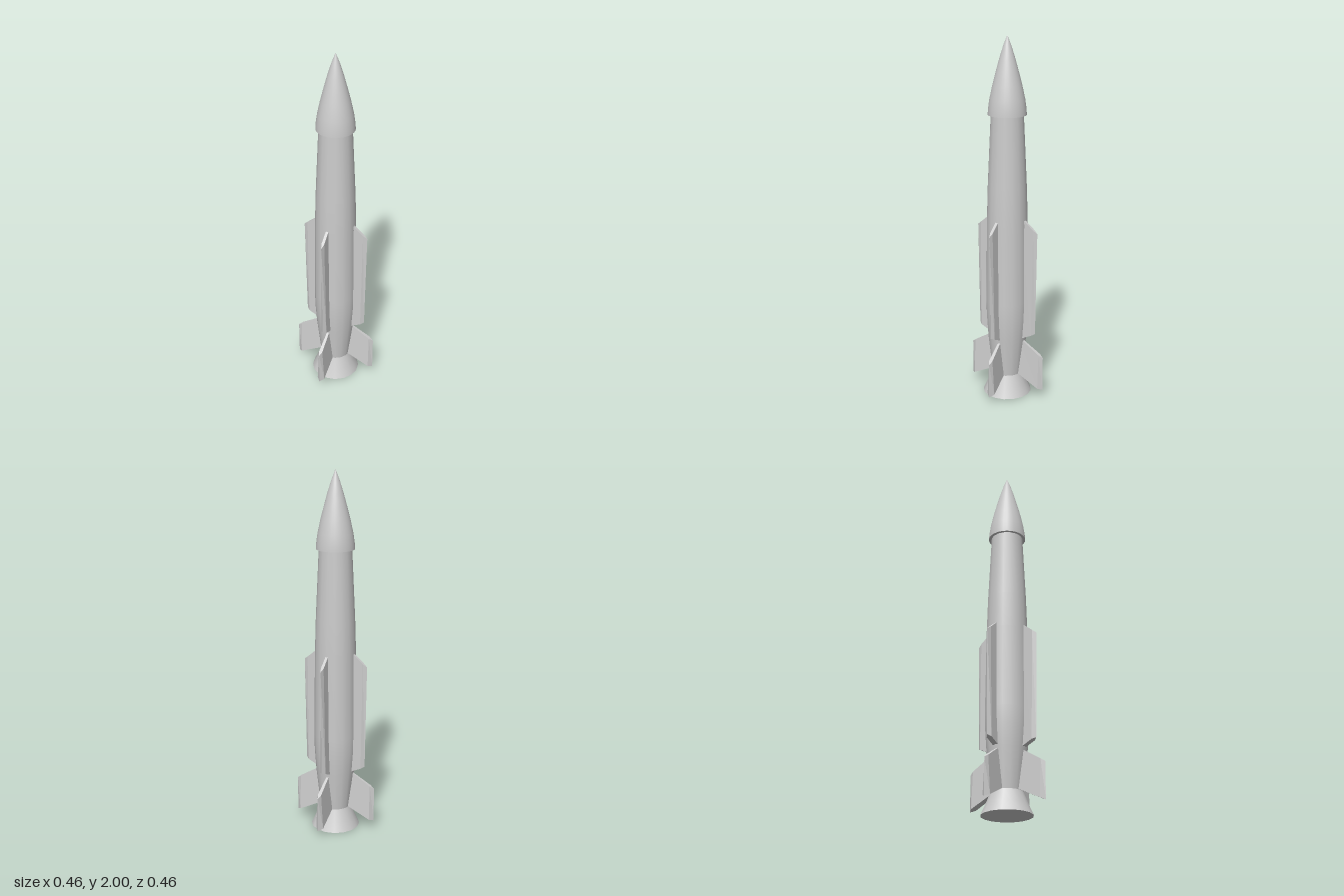
import * as THREE from 'three';

const grey = new THREE.MeshStandardMaterial({ color: 0xcccccc });

function addMesh(group, name, geometry) {
  const mesh = new THREE.Mesh(geometry, grey);
  mesh.name = name;
  group.add(mesh);
  return mesh;
}

// Smooth turned surface from [radius, height] pairs, bottom to top
function turned(profile, sides) {
  return new THREE.LatheGeometry(profile.map(([r, y]) => new THREE.Vector2(r, y)), sides);
}

// Fin along +x with a knife outer edge; each station is [radius, y, half thickness]
function finGeometry(top, bottom) {
  // Loop around one end: root, shoulder, tip, shoulder, root
  const loop = ([root, shoulder, tip]) => [
    [root[0], root[1], root[2]], [shoulder[0], shoulder[1], shoulder[2]],
    [tip[0], tip[1], 0],
    [shoulder[0], shoulder[1], -shoulder[2]], [root[0], root[1], -root[2]],
  ];
  const a = loop(top), b = loop(bottom), n = a.length;
  const positions = [];
  const tri = (...corners) => corners.forEach((c) => positions.push(...c));
  for (let i = 0; i < n; i++) {
    const j = (i + 1) % n;
    tri(a[i], b[i], b[j]);
    tri(a[i], b[j], a[j]);
  }
  // End faces: root quad and pointed tip
  for (const [p, flip] of [[a, false], [b, true]]) {
    for (const t of [[0, 1, 3], [0, 3, 4], [1, 2, 3]]) {
      const c = t.map((i) => p[i]);
      tri(...(flip ? c.reverse() : c));
    }
  }
  const geometry = new THREE.BufferGeometry();
  geometry.setAttribute('position', new THREE.Float32BufferAttribute(positions, 3));
  geometry.computeVertexNormals();
  return geometry;
}

export function createModel() {
  const model = new THREE.Group();
  model.name = 'rocket';

  // Tapered hull, narrowing towards the tail
  addMesh(model, 'hull', turned([
    [0.084, 0.12], [0.108, 0.34], [0.116, 0.46], [0.117, 0.55],
    [0.112, 1.0], [0.106, 1.2], [0.088, 1.59],
  ], 16));

  // Flared nozzle with closed base
  addMesh(model, 'nozzle', turned([[0.135, 0], [0.11, 0.055], [0.084, 0.12]], 16));
  const base = addMesh(model, 'nozzleBase', new THREE.CircleGeometry(0.135, 16));
  base.rotation.x = Math.PI / 2;

  // Ogive nose overhanging the hull
  addMesh(model, 'noseCone', turned([
    [0.103, 1.588], [0.101, 1.62], [0.094, 1.67], [0.079, 1.74], [0.061, 1.81],
    [0.042, 1.88], [0.02, 1.95], [0, 2],
  ], 32));
  const noseBase = addMesh(model, 'noseBase', new THREE.CircleGeometry(0.103, 32));
  noseBase.rotation.x = Math.PI / 2;
  noseBase.position.y = 1.588;

  // Long strakes and swept tail fins, four of each
  const strake = finGeometry(
    [[0.09, 1.04, 0.007], [0.165, 0.977, 0.008], [0.187, 0.96, 0]],
    [[0.09, 0.335, 0.015], [0.16, 0.369, 0.015], [0.178, 0.378, 0]],
  );
  const tailFin = finGeometry(
    [[0.07, 0.345, 0.005], [0.207, 0.26, 0.01], [0.229, 0.245, 0]],
    [[0.06, 0.132, 0.017], [0.207, 0.06, 0.021], [0.229, 0.05, 0]],
  );
  for (let i = 0; i < 4; i++) {
    const angle = (i * Math.PI) / 2;
    addMesh(model, 'strake' + (i + 1), strake).rotation.y = angle;
    // The side pair of tail fins is turned slightly off axis
    const skew = i % 2 === 0 ? 0.087 : 0;
    addMesh(model, 'tailFin' + (i + 1), tailFin).rotation.y = angle + skew;
  }
  return model;
}
